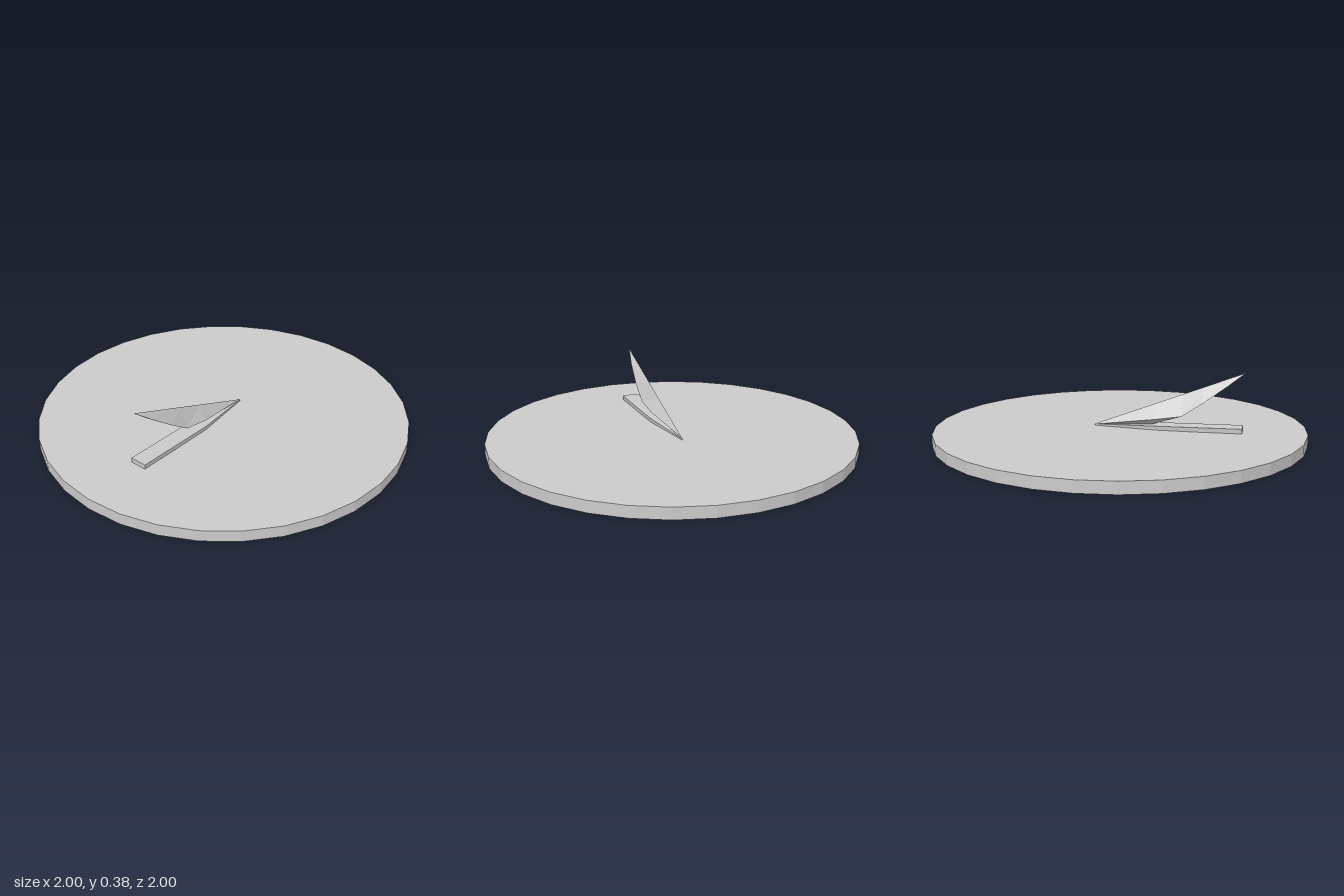
import * as THREE from 'three';

const material = new THREE.MeshStandardMaterial({ color: 0xcccccc, flatShading: true });

// Skins a list of four-cornered rings running towards +x and closes both ends.
// Corner order in a ring: top, +z side, bottom, -z side.
function loft(rings) {
  const pos = [];
  const tri = (...corners) => corners.forEach((c) => pos.push(...c));
  for (let i = 0; i < rings.length - 1; i++) {
    const a = rings[i], b = rings[i + 1];
    for (let j = 0; j < 4; j++) {
      const k = (j + 1) % 4;
      tri(a[j], a[k], b[j]);
      tri(a[k], b[k], b[j]);
    }
  }
  const s = rings[0], e = rings[rings.length - 1];
  tri(s[0], s[2], s[1]);
  tri(s[0], s[3], s[2]);
  tri(e[0], e[1], e[2]);
  tri(e[0], e[2], e[3]);
  const g = new THREE.BufferGeometry();
  g.setAttribute('position', new THREE.Float32BufferAttribute(pos, 3));
  g.computeVertexNormals();
  return g;
}

export function createModel() {
  const model = new THREE.Group();
  const add = (name, geometry) => {
    const mesh = new THREE.Mesh(geometry, material);
    mesh.name = name;
    model.add(mesh);
  };

  // Round base plate
  const disc = new THREE.CylinderGeometry(1, 1, 0.062, 32);
  disc.translate(0, 0.031, 0);
  add('basePlate', disc);

  // Flat bar lying on the plate, tapering to the front point: x, bottom, top, half width
  const bar = [
    [-0.66, 0.064, 0.09, 0.047],
    [-0.2, 0.06, 0.084, 0.047],
    [0.14, 0.06, 0.069, 0.001],
  ].map(([x, lo, hi, w]) => [[x, hi, -w], [x, hi, w], [x, lo, w * 0.95], [x, lo, -w * 0.95]]);
  add('lowerBar', loft(bar));

  // Raised blade with a straight ridge: rim x, rim y, half width, keel x, keel y
  const ridge = (x) => 0.07 + (0.14 - x) * 0.383;
  const blade = [
    [-0.67, 0.38, 0, -0.67, 0.38],
    [-0.57, 0.303, 0.022, -0.57, 0.298],
    [-0.45, 0.215, 0.038, -0.44, 0.207],
    [-0.34, 0.142, 0.044, -0.33, 0.132],
    [-0.2, 0.12, 0.043, -0.18, 0.085],
    [0.14, 0.07, 0, 0.14, 0.068],
  ].map(([x, y, w, kx, ky]) => [[x, ridge(x), 0], [x, y, w], [kx, ky, 0], [x, y, -w]]);
  add('raisedBlade', loft(blade));

  return model;
}
